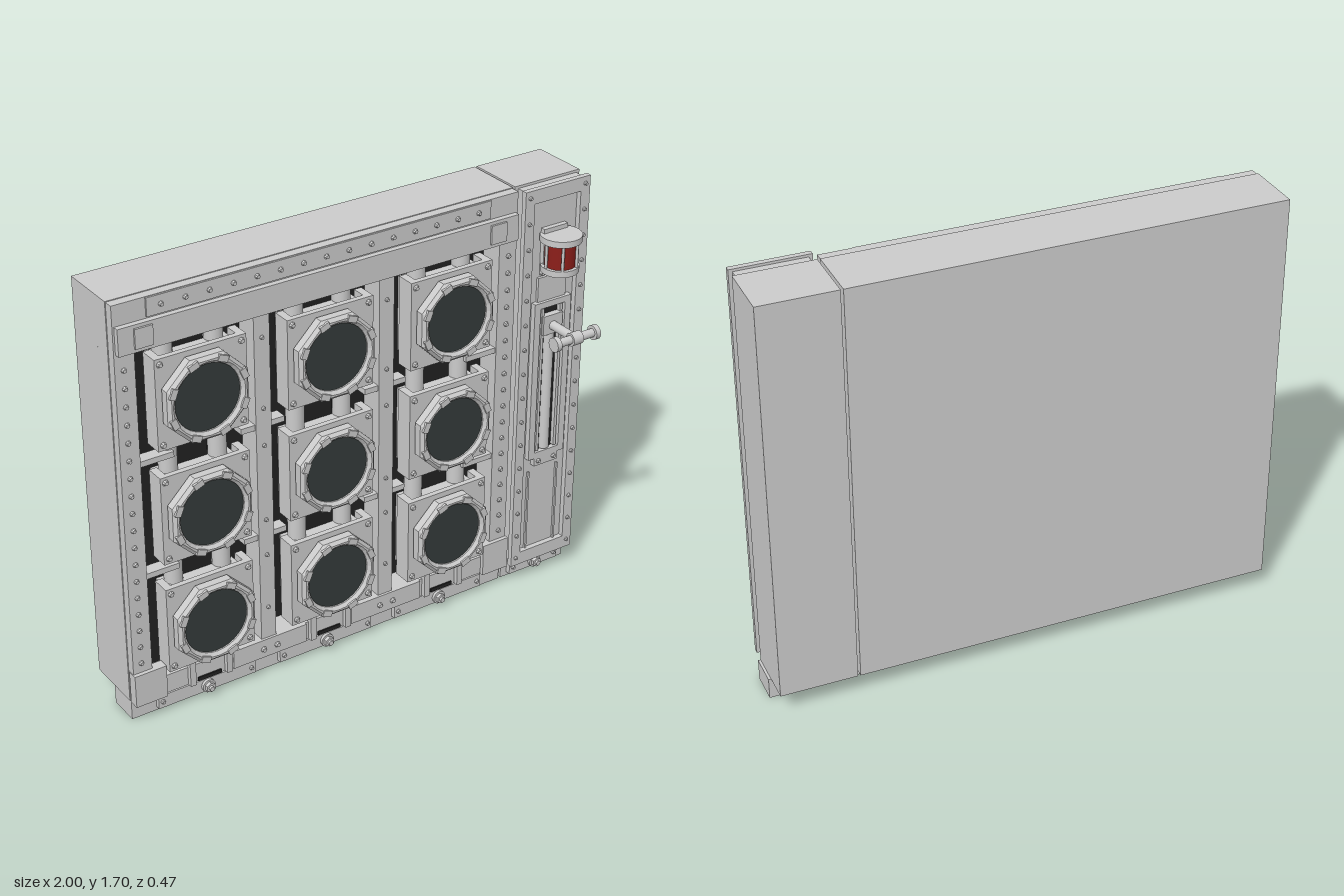
import * as THREE from 'three';

const grey = new THREE.MeshStandardMaterial({ color: 0xcccccc, flatShading: true });
const smooth = new THREE.MeshStandardMaterial({ color: 0xcccccc });
const black = new THREE.MeshStandardMaterial({ color: 0x222222 });
const glass = new THREE.MeshStandardMaterial({ color: 0x343b3a });
const red = new THREE.MeshStandardMaterial({ color: 0x8c1f1a });

function add(parent, name, geo, mat = grey) {
  const m = new THREE.Mesh(geo, mat);
  m.name = name;
  parent.add(m);
  return m;
}

// Box given by its limits on each axis
function box(parent, name, x0, x1, y0, y1, z0, z1, mat = grey) {
  const m = add(parent, name, new THREE.BoxGeometry(x1 - x0, y1 - y0, z1 - z0), mat);
  m.position.set((x0 + x1) / 2, (y0 + y1) / 2, (z0 + z1) / 2);
  return m;
}

// Cylinder along a chosen axis, centred at x, y, z
function cyl(parent, name, r, len, x, y, z, axis = 'y', mat = smooth, sides = 16, rTop = r) {
  const g = new THREE.CylinderGeometry(rTop, r, len, sides);
  if (axis === 'z') g.rotateX(Math.PI / 2);
  if (axis === 'x') g.rotateZ(Math.PI / 2);
  const m = add(parent, name, g, mat);
  m.position.set(x, y, z);
  return m;
}

const rivet = (p, x, y, z, r = 0.011) => cyl(p, 'rivet', r, 0.012, x, y, z + 0.004, 'z', grey, 8, r * 0.6);

// Rectangular frame: outer and inner limits [x0, x1, y0, y1], from z0 to z1
function frame(parent, name, o, i, z0, z1) {
  const rect = (C, [x0, x1, y0, y1]) => new C().moveTo(x0, y0).lineTo(x1, y0).lineTo(x1, y1).lineTo(x0, y1).closePath();
  const s = rect(THREE.Shape, o);
  s.holes.push(rect(THREE.Path, i));
  const m = add(parent, name, new THREE.ExtrudeGeometry(s, { depth: z1 - z0, bevelEnabled: false }));
  m.position.z = z0;
}

// One round window unit, centred on its own origin in x and y
function windowUnit() {
  const g = new THREE.Group();
  g.name = 'windowUnit';
  box(g, 'housing', -0.15, 0.15, -0.15, 0.15, -0.06, 0.045);
  box(g, 'mountingPlate', -0.18, 0.18, -0.177, 0.177, 0.045, 0.067);
  for (const s of [-1, 1]) {
    box(g, 'sideFlange', s * 0.165 - 0.015, s * 0.165 + 0.015, -0.177, 0.177, -0.01, 0.045);
    for (const t of [-1, 1]) rivet(g, s * 0.16, t * 0.155, 0.067, 0.013);
  }

  // Eight-sided bezel with a bevelled edge and a round opening
  const oct = new THREE.Shape();
  for (let k = 0; k < 8; k++) {
    const a = (k + 0.5) * Math.PI / 4, r = 0.16;
    if (k) oct.lineTo(r * Math.cos(a), r * Math.sin(a));
    else oct.moveTo(r * Math.cos(a), r * Math.sin(a));
  }
  oct.closePath();
  oct.holes.push(new THREE.Path().absarc(0, 0, 0.142, 0, Math.PI * 2, true));
  const bezel = add(g, 'bezel', new THREE.ExtrudeGeometry(oct,
    { depth: 0.032, bevelThickness: 0.012, bevelSize: 0.012, bevelSegments: 1, curveSegments: 16 }));
  bezel.position.z = 0.074;
  cyl(g, 'glass', 0.145, 0.02, 0, 0, 0.09, 'z', glass, 24);
  for (let k = 0; k < 8; k++) {
    const a = (k + 0.5) * Math.PI / 4;
    const c = box(g, 'bezelClip', -0.012, 0.012, -0.02, 0.02, 0.112, 0.122);
    c.position.x = 0.15 * Math.cos(a);
    c.position.y = 0.15 * Math.sin(a);
    c.rotation.z = a;
  }
  return g;
}

function buildCabinet() {
  const g = new THREE.Group();
  g.name = 'cabinet';
  const opening = [-0.92, 0.6, 0.165, 1.53];
  box(g, 'cabinetBack', -1, 0.68, 0.085, 1.7, -0.235, -0.07);
  frame(g, 'cabinetWalls', [-1, 0.68, 0.085, 1.7], opening, -0.07, 0);
  box(g, 'recessLining', -0.92, 0.6, 0.165, 1.53, -0.07, -0.06, black);
  frame(g, 'frontFrame', [-0.997, 0.678, 0.088, 1.697], opening, 0, 0.036);

  // Top strip, lintel and corner plates
  box(g, 'topStrip', -0.87, 0.55, 1.625, 1.695, 0.036, 0.043);
  for (let i = 0; i < 15; i++) rivet(g, -0.815 + i * 0.0936, 1.66, 0.043);
  box(g, 'lintel', -0.99, 0.668, 1.515, 1.618, 0.02, 0.058);
  for (const x of [-0.895, 0.575]) box(g, 'lintelPad', x - 0.035, x + 0.035, 1.53, 1.605, 0.058, 0.066);
  box(g, 'cornerPlate', -1, -0.87, 0.085, 0.22, 0.01, 0.052);
  box(g, 'cornerPlate', 0.56, 0.68, 0.085, 0.22, 0.01, 0.052);
  for (let i = 0; i < 18; i++) for (const x of [-0.963, 0.642]) rivet(g, x, 0.26 + i * 0.07, 0.036);

  // Uprights between the columns, with feet
  for (const x of [-0.425, 0.1]) {
    box(g, 'upright', x - 0.032, x + 0.032, 0.16, 1.53, -0.06, 0.036);
    box(g, 'uprightFoot', x - 0.16, x + 0.16, 0.088, 0.165, 0.03, 0.046);
    for (const s of [-1, 1]) rivet(g, x + s * 0.03, 0.125, 0.046, 0.013);
    for (const y of [0.3, 0.53, 0.68, 0.99, 1.14, 1.42]) rivet(g, x, y, 0.036, 0.009);
  }
  for (const y of [0.61, 1.068]) {
    for (const x of [-0.875, -0.425, 0.1, 0.555])
      box(g, 'crossBar', x - 0.09, Math.min(x + 0.09, 0.61), y - 0.011, y + 0.011, -0.02, 0.03);
  }

  // Columns of windows with the pipes behind them
  for (const x of [-0.685, -0.16, 0.365]) {
    for (const s of [-1, 1]) {
      cyl(g, 'pipe', 0.035, 1.38, x + s * 0.1, 0.84, -0.02);
      box(g, 'footBracket', x + s * 0.078 - 0.012, x + s * 0.078 + 0.012, 0.088, 0.2, 0.03, 0.055);
    }
    box(g, 'darkChannel', x - 0.065, x + 0.065, 0.165, 1.53, -0.06, -0.03, black);
    box(g, 'footSlot', x - 0.05, x + 0.05, 0.09, 0.105, 0.03, 0.042, black);
    for (const y of [0.38, 0.84, 1.3]) {
      const w = windowUnit();
      w.position.set(x, y - 0.005, 0);
      g.add(w);
    }
  }
  return g;
}

function buildControlPanel() {
  const g = new THREE.Group();
  g.name = 'controlPanel', g.position.x = 0.84;
  box(g, 'panelBody', -0.15, 0.15, 0.085, 1.7, -0.235, 0);
  box(g, 'panelNeck', -0.135, 0.135, 0.095, 1.69, 0, 0.045);
  frame(g, 'panelFrame', [-0.15, 0.15, 0.085, 1.7], [-0.107, 0.107, 0.14, 1.645], 0.045, 0.067);
  for (let i = 0; i < 16; i++) for (const x of [-0.129, 0.127]) rivet(g, x, 0.12 + i * 0.1035, 0.067, 0.009);
  for (const s of [-1, 1]) box(g, 'lowerTrim', s * 0.07 - 0.004, s * 0.07 + 0.004, 0.14, 0.49, 0.045, 0.054);

  // Warning lamp with a guard
  const zl = 0.095;
  cyl(g, 'lampLens', 0.06, 0.11, 0, 1.44, zl, 'y', red, 20);
  cyl(g, 'lampCap', 0.08, 0.025, 0, 1.5, zl, 'y', smooth, 24);
  cyl(g, 'lampBase', 0.073, 0.024, 0, 1.377, zl, 'y', smooth, 24);
  for (let k = 0; k < 6; k++) {
    const a = k * Math.PI / 3;
    cyl(g, 'lampGuard', 0.006, 0.11, 0.066 * Math.cos(a), 1.44, zl + 0.066 * Math.sin(a), 'y', smooth, 6);
  }
  box(g, 'lampMount', -0.055, 0.055, 1.35, 1.53, 0.045, 0.065);
  box(g, 'switchPlate', -0.066, 0.066, 1.23, 1.33, 0.045, 0.056);
  for (const s of [-1, 1]) rivet(g, s * 0.045, 1.345, 0.048);

  // Lever slot with guide rails
  frame(g, 'slotFrame', [-0.086, 0.086, 0.555, 1.23], [-0.058, 0.058, 0.58, 1.205], 0.045, 0.068);
  box(g, 'slotFloor', -0.058, 0.058, 0.58, 1.205, 0.044, 0.047, black);
  for (const x of [-0.043, 0.043]) box(g, 'guideRail', x - 0.006, x + 0.006, 0.585, 1.2, 0.047, 0.064);
  cyl(g, 'slideRod', 0.022, 0.52, 0, 0.845, 0.047);
  box(g, 'slider', -0.045, 0.045, 1.09, 1.17, 0.047, 0.073);
  box(g, 'slotTab', -0.057, 0.057, 0.52, 0.565, 0.045, 0.068);
  for (const s of [-1, 1]) rivet(g, s * 0.037, 0.54, 0.068);

  // Lever and grip
  cyl(g, 'leverStem', 0.018, 0.14, 0, 1.125, 0.135, 'z');
  cyl(g, 'grip', 0.017, 0.18, 0, 1.125, 0.205, 'x');
  cyl(g, 'gripCollar', 0.026, 0.045, 0, 1.125, 0.205, 'x');
  for (const s of [-1, 1]) cyl(g, 'gripEnd', 0.029, 0.02, s * 0.092, 1.125, 0.205, 'x');
  return g;
}

function buildPlinth() {
  const g = new THREE.Group();
  g.name = 'plinth';
  box(g, 'mainPlinth', -0.995, 0.68, 0, 0.085, -0.125, 0);
  box(g, 'panelPlinth', 0.69, 1, 0, 0.085, -0.125, 0);
  for (const [x, w] of [[-0.685, 0.208], [-0.16, 0.208], [0.365, 0.208], [0.84, 0.12]]) {
    box(g, 'plinthPlate', x - w, x + w, 0.015, 0.07, 0, 0.02);
    for (const s of [-1, 1]) rivet(g, x + s * (w - 0.018), 0.042, 0.02, 0.01);
    cyl(g, 'washer', 0.027, 0.012, x, 0.042, 0.026, 'z');
    cyl(g, 'nut', 0.02, 0.016, x, 0.042, 0.038, 'z', grey, 6);
    cyl(g, 'stud', 0.01, 0.014, x, 0.042, 0.049, 'z');
  }
  return g;
}

export function createModel() {
  const model = new THREE.Group();
  model.name = 'controlCabinet';
  model.add(buildCabinet(), buildControlPanel(), buildPlinth());
  return model;
}
